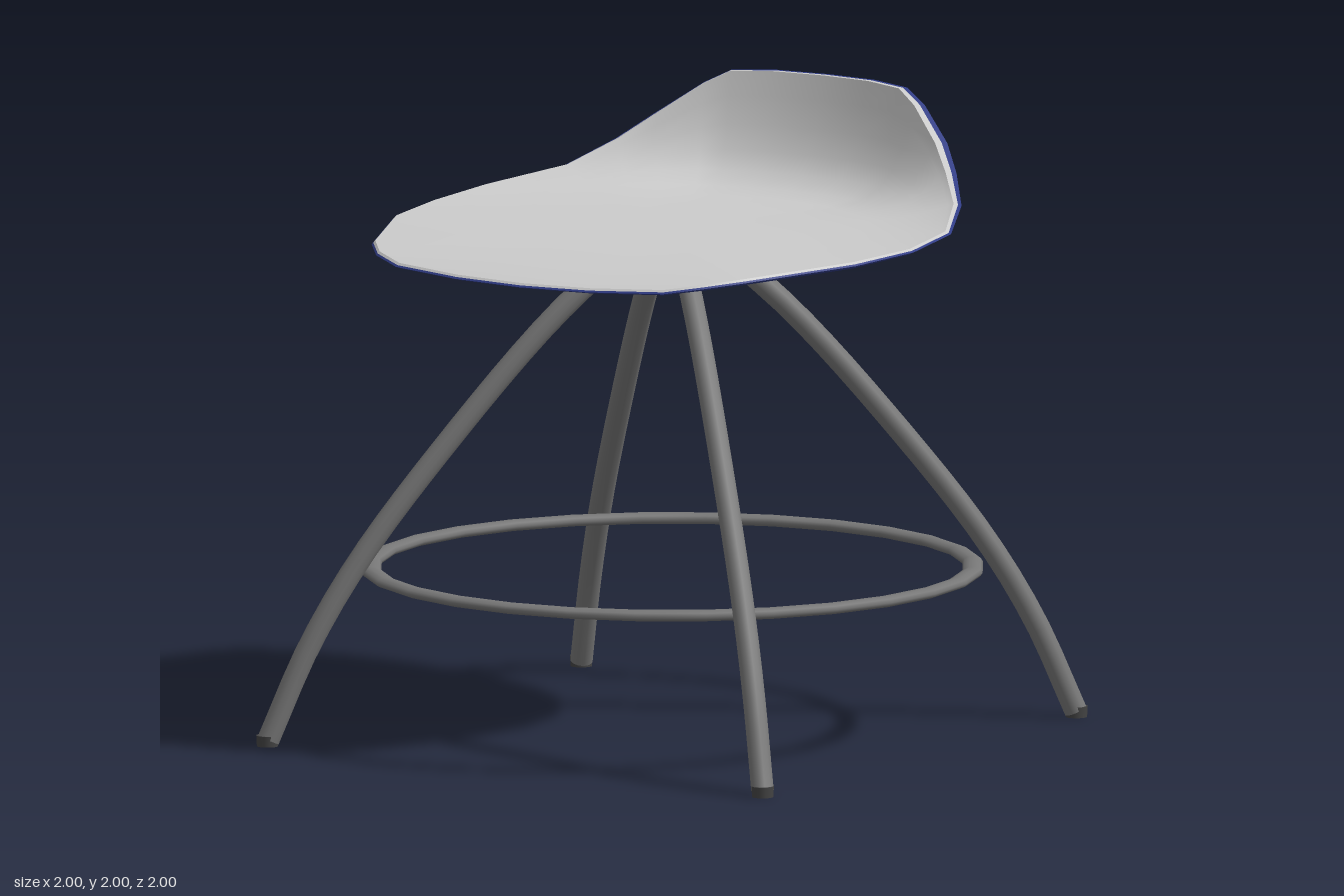
import * as THREE from 'three';

const material = (color) => new THREE.MeshStandardMaterial({ color });

// Half of the seat rim [x, y, z], from back centre round to front centre
const RIM_HALF = [
  [0, 2, -0.9], [0.18, 2, -0.885], [0.32, 1.993, -0.85], [0.4, 1.95, -0.815], [0.53, 1.85, -0.735],
  [0.62, 1.775, -0.655], [0.73, 1.7, -0.53], [0.87, 1.66, -0.26], [0.9, 1.642, 0], [0.865, 1.635, 0.28],
  [0.705, 1.62, 0.66], [0.615, 1.608, 0.775], [0.5, 1.59, 0.84], [0.25, 1.58, 0.885], [0, 1.577, 0.9],
];
const RIM = [...RIM_HALF, ...RIM_HALF.slice(1, -1).reverse().map(([x, y, z]) => [-x, y, z])];
const RINGS = [0, 0.25, 0.5, 0.68, 0.78, 0.86, 0.91, 0.95, 0.98, 1];
const SEAT_Y = 1.635;

// Point of the sitting surface (outer = 0) or of the shell below it (outer = 1)
function seatPoint([x, y, z], t, outer) {
  const lift = THREE.MathUtils.clamp((y - SEAT_Y) / 0.36, 0, 1);
  const rise = Math.pow(t, 4 + 8 * lift);
  const steep = Math.sqrt(lift) * Math.min(1, 2.5 * rise);
  const r = Math.hypot(x, z);
  const grow = outer * (0.012 * t + 0.02 * steep + 0.08 * steep * lift * (1 - lift));
  const drop = outer * (t === 1 ? 0.012 : 0.022) * (1 - steep);
  const s = t + grow / r;
  return [x * s, SEAT_Y + (y - SEAT_Y) * rise - drop, z * s];
}

// Skin a list of closed loops of equal length
function loft(loops, flip) {
  const n = loops[0].length;
  const index = [];
  for (let j = 0; j < loops.length - 1; j++) {
    for (let i = 0; i < n; i++) {
      const a = j * n + i, b = j * n + (i + 1) % n, c = a + n, d = b + n;
      if (flip) index.push(a, d, c, a, b, d);
      else index.push(a, c, d, a, d, b);
    }
  }
  const geometry = new THREE.BufferGeometry();
  geometry.setAttribute('position', new THREE.Float32BufferAttribute(loops.flat(2), 3));
  geometry.setIndex(index);
  geometry.computeVertexNormals();
  return geometry;
}

export function createModel() {
  const model = new THREE.Group();
  const grey = material(0xcccccc);
  const blue = material(0x303c86);
  const steel = material(0x777777);
  const rubber = material(0x444444);
  blue.side = grey.side = THREE.DoubleSide;

  const add = (name, geometry, mat, parent = model) => {
    const mesh = new THREE.Mesh(geometry, mat);
    mesh.name = name;
    parent.add(mesh);
    return mesh;
  };

  // Seat: grey sitting surface, blue shell, and a lip joining the two
  const surface = (outer) => RINGS.map((t) => RIM.map((p) => seatPoint(p, t, outer)));
  const lip = [0, 0.55, 1].map((o) => RIM.map((p) => seatPoint(p, 1, o)));
  add('seatPad', loft(surface(0), true), grey);
  add('seatShell', loft(surface(1), false), blue);
  add('seatLipInner', loft([lip[0], lip[1]], true), grey);
  add('seatLipOuter', loft([lip[1], lip[2]], true), blue);

  // Mounting boss flaring out of the shell
  const boss = [[0, 1.553], [0.262, 1.553], [0.265, 1.567], [0.3, 1.575], [0.34, 1.594], [0.4, 1.613]];
  add('seatBoss', new THREE.LatheGeometry(boss.map(([x, y]) => new THREE.Vector2(x, y)), 28), blue);

  // Four splayed legs on the diagonals
  const path = new THREE.CatmullRomCurve3(
    [[0.1, 1.58], [0.285, 1.34], [0.51, 0.98], [0.72, 0.6], [0.84, 0.32], [0.935, 0.02]]
      .map(([d, y]) => new THREE.Vector3(d * Math.SQRT2, y, 0)));
  const legGeometry = new THREE.TubeGeometry(path, 20, 0.037, 12);
  const footGeometry = new THREE.CylinderGeometry(0.037, 0.035, 0.035, 12);
  for (let i = 0; i < 4; i++) {
    const leg = new THREE.Group();
    leg.name = 'leg' + (i + 1);
    leg.rotation.y = Math.PI / 4 + i * Math.PI / 2;
    add('legTube', legGeometry, steel, leg);
    add('foot', footGeometry, rubber, leg).position.set(0.937 * Math.SQRT2, 0.0175, 0);
    model.add(leg);
  }

  // Flattened footrest ring
  const ring = new THREE.TorusGeometry(0.967, 0.033, 10, 28);
  ring.scale(1, 1, 0.55);
  ring.rotateX(Math.PI / 2);
  add('footrestRing', ring, steel).position.y = 0.533;

  return model;
}
